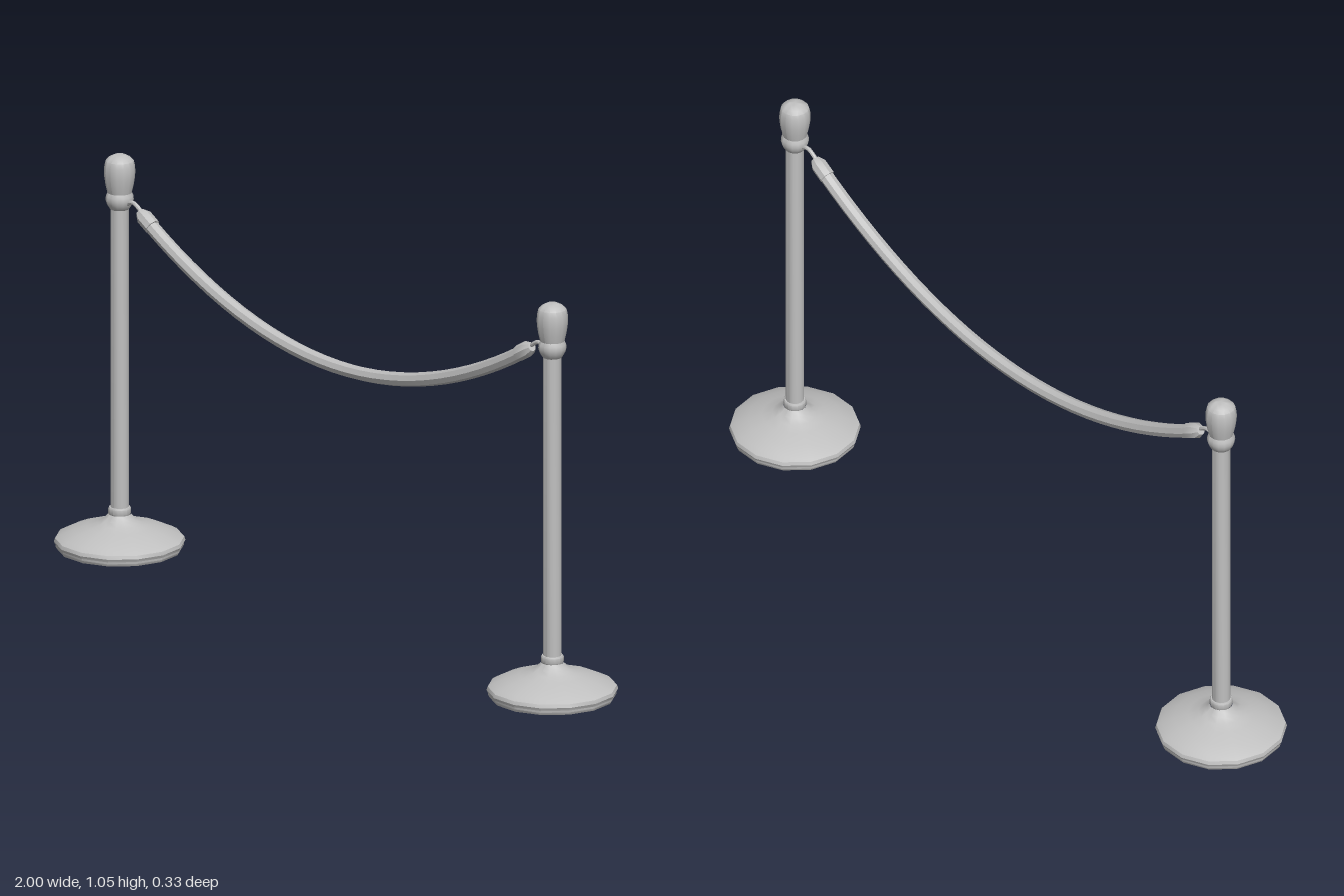
import * as THREE from 'three';
import { toCreasedNormals } from 'three/addons/utils/BufferGeometryUtils.js';

const CREASE = 0.6;
const POST_X = 0.833;  // distance of each post from the centre
const ROPE_X = 0.715;  // half span of the rope
const ROPE_LOW = 0.679, ROPE_RISE = 0.206;

const metal = new THREE.MeshStandardMaterial({ color: 0xc0c0c0 });
metal.name = 'grey metal';

function addMesh(parent, name, geometry) {
  const mesh = new THREE.Mesh(toCreasedNormals(geometry, CREASE), metal);
  mesh.name = name;
  parent.add(mesh);
  return mesh;
}

// Turned part from [radius, height] pairs, bottom to top
function turned(profile, sides) {
  const points = profile.map(([r, y]) => new THREE.Vector2(r, y));
  return new THREE.LatheGeometry(points, sides, Math.PI / 2);
}

function createStanchion() {
  const group = new THREE.Group();

  // Weighted foot with a rounded rim and flared neck
  addMesh(group, 'base', turned([
    [0, 0], [0.159, 0], [0.163, 0.007], [0.163, 0.012], [0.167, 0.02], [0.164, 0.029],
    [0.15, 0.037], [0.12, 0.05], [0.085, 0.061], [0.058, 0.069], [0.042, 0.078],
    [0.033, 0.087], [0.029, 0.092],
  ], 14)).position.x = POST_X;

  addMesh(group, 'neckRing', turned([
    [0.02, 0.09], [0.027, 0.09], [0.029, 0.094], [0.029, 0.107], [0.027, 0.111], [0.02, 0.111],
  ], 14)).position.x = POST_X;

  addMesh(group, 'post', turned([[0.0235, 0.1], [0.0235, 0.91]], 14)).position.x = POST_X;

  // Bulged collar below the finial
  addMesh(group, 'collar', turned([
    [0.022, 0.9], [0.026, 0.903], [0.033, 0.915], [0.036, 0.926], [0.035, 0.936],
    [0.031, 0.945], [0.02, 0.945],
  ], 14)).position.x = POST_X;

  // Egg-shaped finial with a domed cap
  addMesh(group, 'finial', turned([
    [0.02, 0.943], [0.031, 0.944], [0.036, 0.965], [0.039, 0.985], [0.04, 1.0],
    [0.039, 1.015], [0.036, 1.029], [0.028, 1.037], [0.015, 1.044], [0, 1.046],
  ], 14)).position.x = POST_X;

  // Thin hook joining collar and rope end
  const hookPath = new THREE.CatmullRomCurve3([
    [0.805, 0.918], [0.793, 0.926], [0.778, 0.928], [0.763, 0.921], [0.745, 0.908],
  ].map(([x, y]) => new THREE.Vector3(x, y, 0)));
  addMesh(group, 'hook', new THREE.TubeGeometry(hookPath, 12, 0.0055, 8));

  // Ferrule capping the rope, aligned with its end slope
  const ferrule = addMesh(group, 'ferrule', turned([
    [0, -0.024], [0.021, -0.024], [0.021, 0.014], [0.012, 0.032], [0, 0.032],
  ], 8));
  ferrule.position.set(0.727, 0.894, 0);
  ferrule.rotation.z = Math.atan(2 * ROPE_RISE / ROPE_X) - Math.PI / 2;

  return group;
}

export function createModel() {
  const model = new THREE.Group();
  model.name = 'ropeBarrier';

  const left = createStanchion();
  left.name = 'leftStanchion';
  const right = createStanchion();
  right.name = 'rightStanchion';
  right.rotation.y = Math.PI;
  model.add(left, right);

  // A quadratic curve gives the parabolic sag
  const endY = ROPE_LOW + ROPE_RISE;
  const sag = new THREE.QuadraticBezierCurve3(
    new THREE.Vector3(-ROPE_X, endY, 0),
    new THREE.Vector3(0, ROPE_LOW - ROPE_RISE, 0),
    new THREE.Vector3(ROPE_X, endY, 0),
  );
  addMesh(model, 'rope', new THREE.TubeGeometry(sag, 28, 0.0185, 8));

  return model;
}
